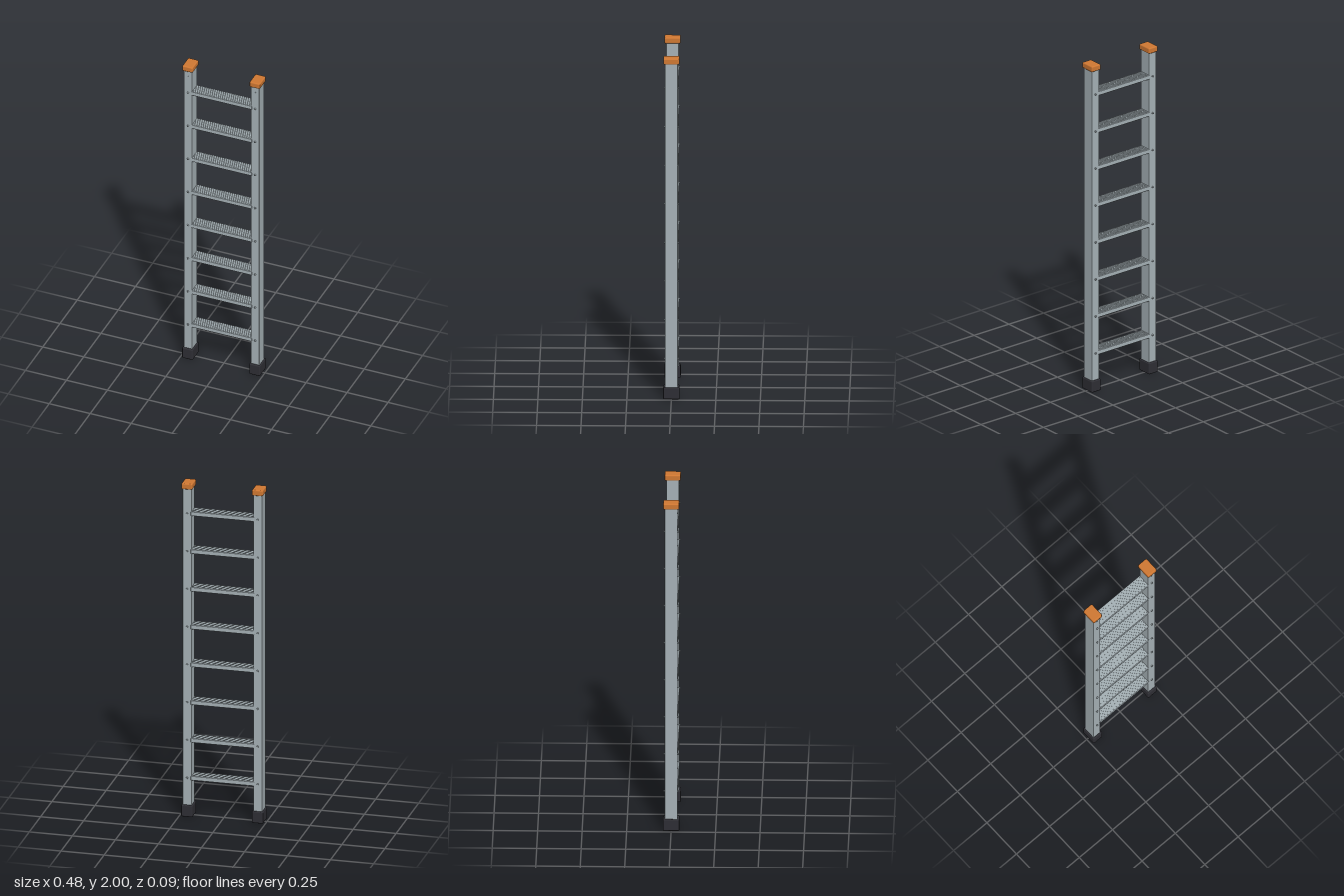
import * as THREE from 'three';
import { RoundedBoxGeometry } from 'three/addons/geometries/RoundedBoxGeometry.js';

const aluminium = new THREE.MeshStandardMaterial({ color: 0xa6b1b6 });
aluminium.name = 'aluminium';
const orangePlastic = new THREE.MeshStandardMaterial({ color: 0xd07832 });
orangePlastic.name = 'orange plastic';
const blackRubber = new THREE.MeshStandardMaterial({ color: 0x2e2e34 });
blackRubber.name = 'black rubber';

const RAIL_X = 0.205;
const RAIL_DEPTH = 0.072;
const RUNGS = 8;

function add(parent, name, geometry, material, x, y, z) {
  const mesh = new THREE.Mesh(geometry, material);
  mesh.name = name;
  mesh.position.set(x, y, z);
  parent.add(mesh);
  return mesh;
}

export function createModel() {
  const ladder = new THREE.Group();
  ladder.name = 'ladder';

  const railGeo = new RoundedBoxGeometry(0.052, 1.93, RAIL_DEPTH, 2, 0.003);
  const capGeo = new RoundedBoxGeometry(0.064, 0.035, 0.09, 3, 0.007);
  const footGeo = new RoundedBoxGeometry(0.066, 0.07, 0.092, 3, 0.007);
  const rungGeo = new RoundedBoxGeometry(0.37, 0.026, 0.076, 2, 0.004);
  const ridgeGeo = new THREE.BoxGeometry(0.356, 0.002, 0.004);
  const rivetGeo = new THREE.CylinderGeometry(0.004, 0.006, 0.008, 12).rotateX(Math.PI / 2);
  const pinGeo = new THREE.CylinderGeometry(0.004, 0.004, 0.004, 12).rotateX(Math.PI / 2);

  // Side rails with end cap, foot and cap pin
  for (const side of [1, -1]) {
    const rail = new THREE.Group();
    rail.name = side > 0 ? 'leftRail' : 'rightRail';
    rail.position.x = side * RAIL_X;
    ladder.add(rail);
    add(rail, 'railBeam', railGeo, aluminium, 0, 1.005, 0);
    add(rail, 'endCap', capGeo, orangePlastic, 0, 1.9825, 0);
    add(rail, 'foot', footGeo, blackRubber, 0, 0.035, 0);
    add(rail, 'capPin', pinGeo, aluminium, 0, 1.93, RAIL_DEPTH / 2);
  }

  // Evenly spaced rungs with grip ridges and rivets
  for (let i = 0; i < RUNGS; i++) {
    const rung = new THREE.Group();
    rung.name = 'rung' + (i + 1);
    rung.position.y = 0.232 + i * 0.2268;
    ladder.add(rung);
    add(rung, 'tread', rungGeo, aluminium, 0, 0, 0);
    for (let r = -3; r <= 3; r++) {
      add(rung, 'gripRidge', ridgeGeo, aluminium, 0, 0.0132, r * 0.0095);
    }
    for (const side of [1, -1]) {
      for (const face of [1, -1]) {
        const rivet = add(rung, 'rivet', rivetGeo, aluminium, side * RAIL_X, 0, face * (RAIL_DEPTH / 2 + 0.003));
        if (face < 0) rivet.rotation.y = Math.PI;
      }
    }
  }
  return ladder;
}
